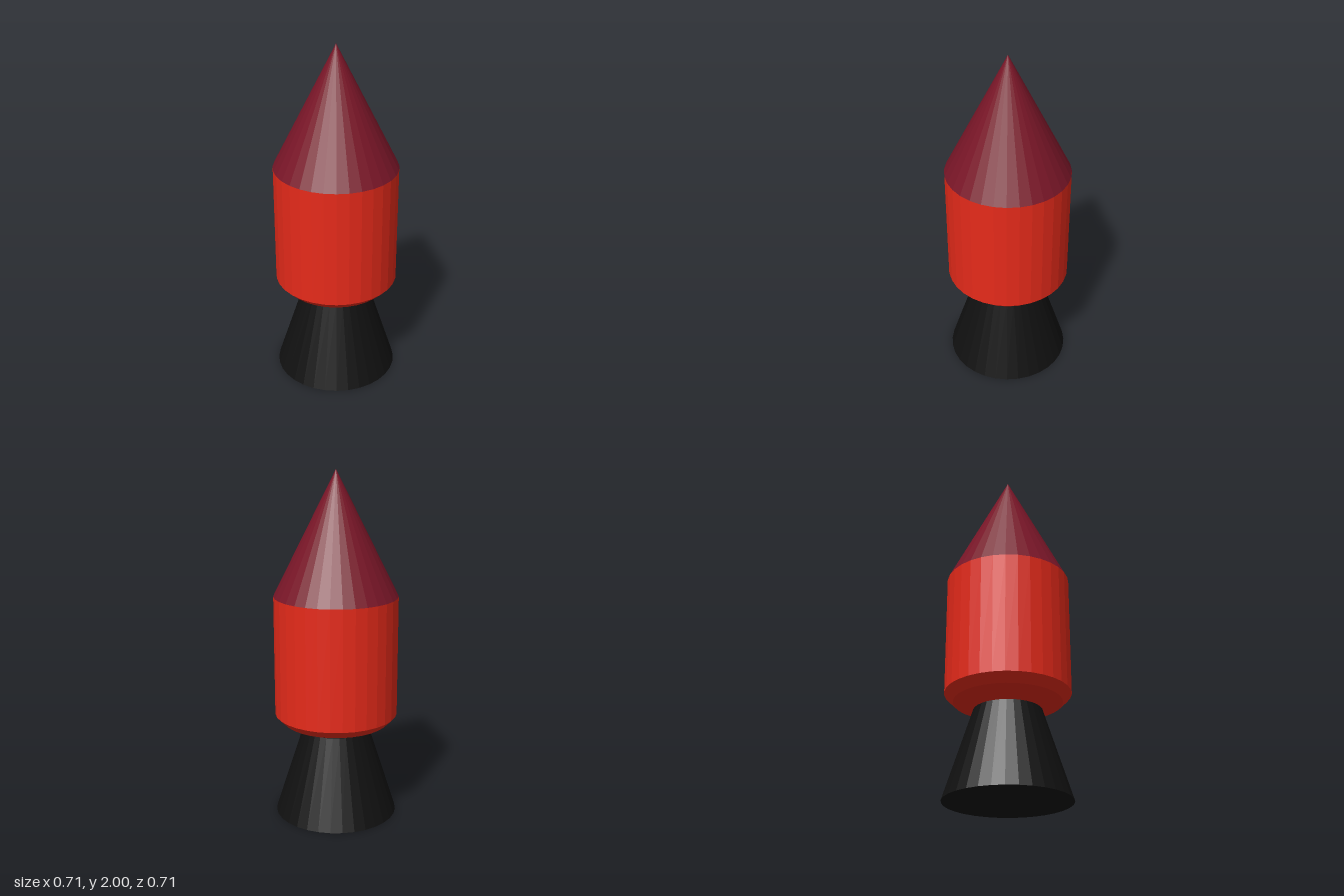
import * as THREE from 'three';

const SIDES = 32;
const RADIUS = 0.354;

export function createModel() {
  const rocket = new THREE.Group();
  rocket.name = 'rocket';

  const material = (color) => new THREE.MeshStandardMaterial({ color, flatShading: true });
  const red = material(0xe62a1a);
  const maroon = material(0x7a1628);
  const black = material(0x111111);

  // Round section standing between two heights
  function addSection(name, topRadius, bottomRadius, bottom, top, mat, open = false) {
    const geometry = new THREE.CylinderGeometry(topRadius, bottomRadius, top - bottom, SIDES, 1, open);
    const mesh = new THREE.Mesh(geometry, mat);
    mesh.name = name;
    mesh.position.y = (bottom + top) / 2;
    rocket.add(mesh);
  }

  // Flared engine nozzle, with a small gap below the body
  addSection('nozzle', 0.192, RADIUS, 0, 0.508, black);

  // Body tube with a bevelled, closed lower end
  addSection('bodyBevel', RADIUS, 0.305, 0.555, 0.603, red);
  addSection('body', RADIUS, RADIUS, 0.603, 1.296, red, true);

  // Pointed nose
  addSection('noseCone', 0, RADIUS, 1.296, 2, maroon);

  return rocket;
}
